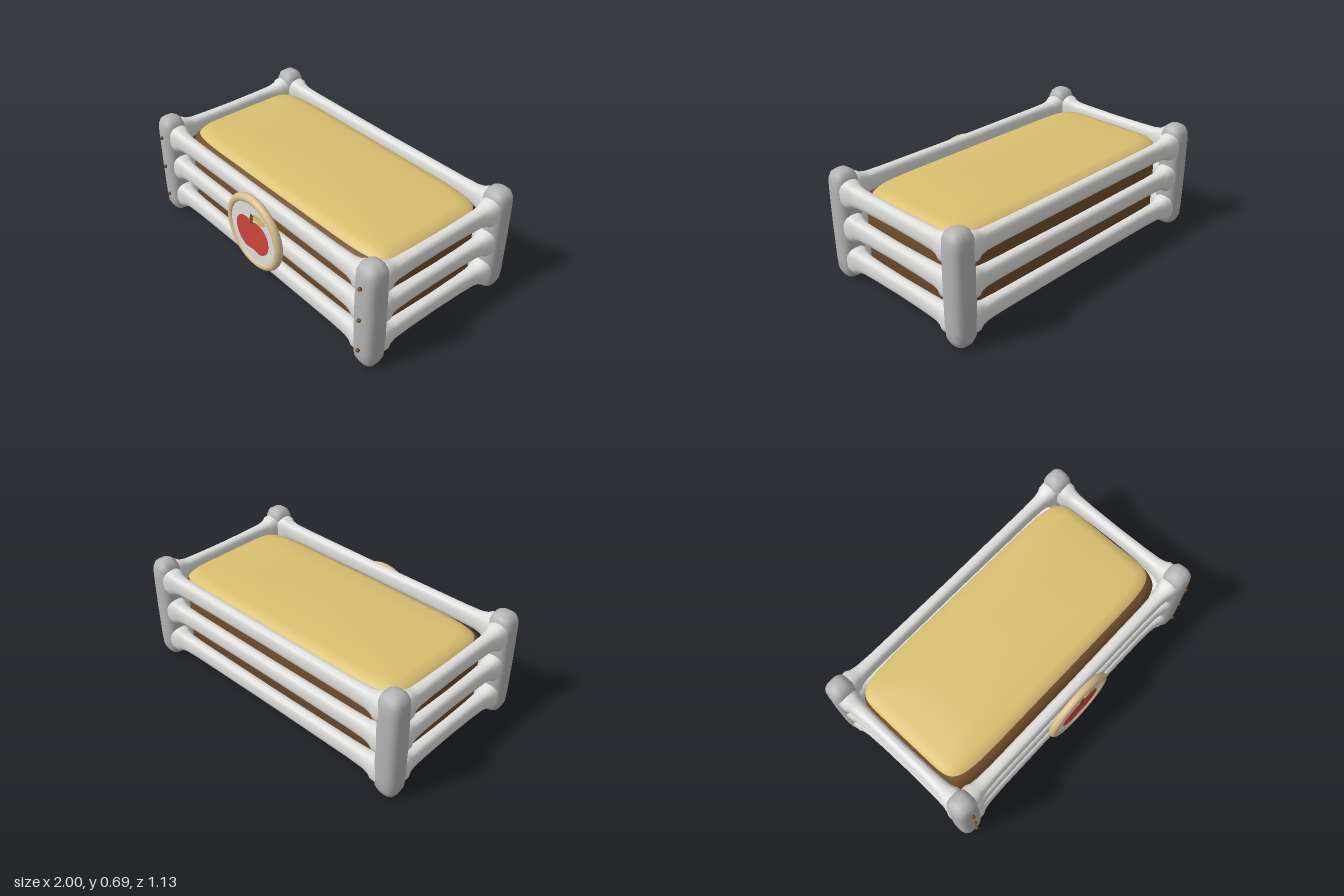
import * as THREE from 'three';
import { toCreasedNormals } from 'three/addons/utils/BufferGeometryUtils.js';

const mat = (name, color) => {
  const m = new THREE.MeshStandardMaterial({ color });
  m.name = name;
  return m;
};

// Closed loft along y through rounded-rectangle rings [y, halfX, halfZ, offsetZ]
function loft(sections, power = 3, seg = 32, crease = 0.7) {
  const pos = [], idx = [];
  const first = sections[0], last = sections[sections.length - 1];
  const rings = [[first[0], 0, 0, first[3]], ...sections, [last[0], 0, 0, last[3]]];
  const bend = v => Math.sign(v) * Math.pow(Math.abs(v), 2 / power);
  for (const [y, a, b, oz = 0] of rings) {
    for (let j = 0; j < seg; j++) {
      const t = (j / seg) * Math.PI * 2;
      pos.push(a * bend(Math.cos(t)), y, b * bend(Math.sin(t)) + oz);
    }
  }
  for (let i = 0; i < rings.length - 1; i++) {
    for (let j = 0; j < seg; j++) {
      const k = (j + 1) % seg;
      const p = i * seg + j, q = i * seg + k, r = p + seg, s = q + seg;
      if (i < rings.length - 2) idx.push(p, r, s);
      if (i > 0) idx.push(p, s, q);
    }
  }
  const g = new THREE.BufferGeometry();
  g.setAttribute('position', new THREE.Float32BufferAttribute(pos, 3));
  g.setIndex(idx);
  return toCreasedNormals(g, crease);
}

// Rail along x whose ends swell into the posts
function railGeometry(half) {
  const side = [[half, 0.088, 0.066], [half - 0.08, 0.086, 0.062], [half - 0.105, 0.07, 0.05],
    [half - 0.15, 0.06, 0.043], [half - 0.26, 0.058, 0.038]];
  const mirrored = side.map(([y, a, b]) => [-y, a, b]);
  return loft([...mirrored, [0, 0.055, 0.036], ...side.reverse()], 2.7).rotateZ(-Math.PI / 2);
}

export function createModel() {
  const post = mat('post grey', 0xb4b4b4);
  const white = mat('rail white', 0xdededc);
  const brown = mat('soil brown', 0x714d2b);
  const straw = mat('straw yellow', 0xd9bf70);
  const cream = mat('badge cream', 0xdcc090);
  const red = mat('apple red', 0xd0453a);
  const nailBrown = mat('nail brown', 0x6e4a22);

  const root = new THREE.Group();
  root.name = 'slattedCrate';
  const add = (parent, name, geo, material, x = 0, y = 0, z = 0) => {
    const m = new THREE.Mesh(geo, material);
    m.name = name;
    m.position.set(x, y, z);
    parent.add(m);
    return m;
  };

  const frontZ = 0.472, backZ = -0.489, postX = 0.922;
  const levels = [0.132, 0.348, 0.562];

  // Corner posts
  const postGeo = loft([[0.004, 0.03, 0.03], [0.018, 0.058, 0.056], [0.055, 0.073, 0.072],
    [0.12, 0.076, 0.076], [0.35, 0.078, 0.077], [0.58, 0.076, 0.076], [0.64, 0.074, 0.073],
    [0.676, 0.06, 0.058], [0.694, 0.033, 0.033]], 2.8, 32, 0.9);
  for (const x of [-postX, postX]) {
    for (const z of [frontZ, backZ]) add(root, z > 0 ? 'frontPost' : 'backPost', postGeo, post, x, 0, z);
  }

  // Rails on all four sides
  const longRail = railGeometry(0.91), shortRail = railGeometry(0.47).rotateY(Math.PI / 2);
  for (const y of levels) {
    add(root, 'frontRail', longRail, white, 0, y, 0.467);
    add(root, 'backRail', longRail, white, 0, y, -0.494);
    for (const x of [-0.925, 0.925]) add(root, 'sideRail', shortRail, white, x, y, -0.008);
  }

  // Filling inside the crate and its padded top
  add(root, 'filling', loft([[0.085, 0.83, 0.38], [0.095, 0.87, 0.42], [0.13, 0.885, 0.435],
    [0.5, 0.885, 0.435], [0.545, 0.875, 0.42, -0.005], [0.565, 0.86, 0.4, -0.02]], 9, 64),
  brown, 0, 0, -0.012);
  add(root, 'strawTop', loft([[0.53, 0.868, 0.402, -0.026], [0.565, 0.87, 0.405, -0.026],
    [0.588, 0.85, 0.385, -0.026], [0.6, 0.8, 0.34, -0.02], [0.607, 0.5, 0.2, -0.01]], 9, 64),
  straw, 0, 0, -0.008);

  // Nails in the front posts
  const nailGeo = new THREE.SphereGeometry(0.012, 10, 8);
  for (const x of [-postX, postX]) {
    for (const y of [0.132, 0.35, 0.565]) add(root, 'nail', nailGeo, nailBrown, x, y, 0.555);
  }

  // Round badge
  const badge = new THREE.Group();
  badge.name = 'badge';
  badge.position.set(0, 0.35, 0);
  root.add(badge);
  const rim = [[0, 0.5], [0.232, 0.5], [0.244, 0.507], [0.25, 0.523], [0.244, 0.54], [0.23, 0.549],
    [0.215, 0.549], [0.204, 0.542], [0.2, 0.53]].map(([r, y]) => new THREE.Vector2(r, y));
  add(badge, 'badgeRim', toCreasedNormals(new THREE.LatheGeometry(rim, 48).rotateX(Math.PI / 2), 0.8), cream);
  add(badge, 'badgeFace', new THREE.CylinderGeometry(0.206, 0.206, 0.02, 48).rotateX(Math.PI / 2),
    white, 0, 0, 0.53);

  // Apple picture as thin plates
  const plate = (name, shape, material, z) => add(badge, name,
    new THREE.ExtrudeGeometry(shape, { depth: 0.004, bevelEnabled: false, curveSegments: 12 }), material, 0, 0, z);
  const apple = new THREE.Shape();
  apple.moveTo(0, 0.08);
  apple.bezierCurveTo(-0.05, 0.11, -0.15, 0.09, -0.15, -0.01);
  apple.bezierCurveTo(-0.15, -0.08, -0.09, -0.135, -0.04, -0.125);
  apple.quadraticCurveTo(0, -0.115, 0.04, -0.125);
  apple.bezierCurveTo(0.09, -0.135, 0.15, -0.08, 0.15, -0.01);
  apple.bezierCurveTo(0.15, 0.09, 0.05, 0.11, 0, 0.08);
  plate('apple', apple, red, 0.539);

  const stem = new THREE.Shape();
  stem.moveTo(-0.008, 0.075);
  stem.lineTo(0.01, 0.075);
  stem.quadraticCurveTo(0.01, 0.11, 0.026, 0.135);
  stem.lineTo(0, 0.142);
  stem.quadraticCurveTo(-0.016, 0.11, -0.008, 0.075);
  plate('stem', stem, nailBrown, 0.541);

  const leaf = new THREE.Shape();
  leaf.moveTo(0.008, 0.125);
  leaf.bezierCurveTo(0.03, 0.175, 0.11, 0.165, 0.13, 0.125);
  leaf.bezierCurveTo(0.11, 0.098, 0.04, 0.092, 0.008, 0.125);
  plate('leaf', leaf, straw, 0.54);

  return root;
}
